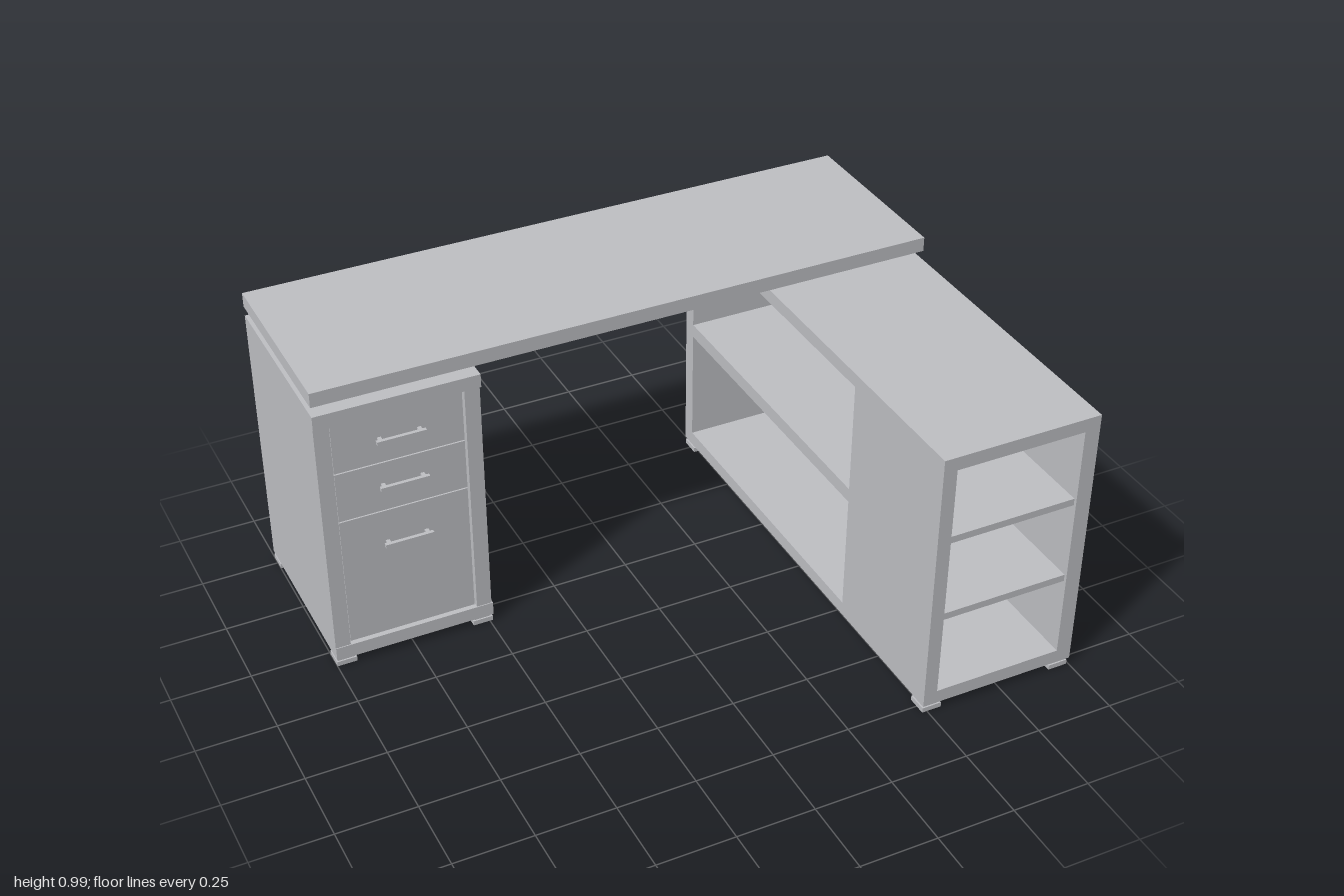
import * as THREE from 'three';

const grey = new THREE.MeshStandardMaterial({ color: 0xbfc0c4 });
grey.name = 'painted grey';

// Box given by its limits on each axis
function slab(parent, name, [x0, x1], [y0, y1], [z0, z1]) {
  const mesh = new THREE.Mesh(new THREE.BoxGeometry(x1 - x0, y1 - y0, z1 - z0), grey);
  mesh.position.set((x0 + x1) / 2, (y0 + y1) / 2, (z0 + z1) / 2);
  mesh.name = name;
  parent.add(mesh);
  return mesh;
}

function group(parent, name) {
  const g = new THREE.Group();
  g.name = name;
  parent.add(g);
  return g;
}

// Square foot: hollow pad below a slightly narrower neck
function foot(parent, x, z) {
  const g = group(parent, 'foot');
  const r = 0.032, h = 0.02;
  const square = (Type, s) => new Type([[-s, -s], [s, -s], [s, s], [-s, s]].map(p => new THREE.Vector2(...p)));
  const shape = square(THREE.Shape, r);
  shape.holes.push(square(THREE.Path, h));
  const geo = new THREE.ExtrudeGeometry(shape, { depth: 0.016, bevelEnabled: false });
  geo.rotateX(-Math.PI / 2);
  const pad = new THREE.Mesh(geo, grey);
  pad.name = 'footPad';
  pad.position.set(x, 0, z);
  g.add(pad);
  slab(g, 'footNeck', [x - 0.027, x + 0.027], [0.01, 0.025], [z - 0.027, z + 0.027]);
}

const Y_BASE = [0.025, 0.07], Y_BODY = [0.07, 0.868], Y_CAP = [0.868, 0.912];

export function createModel() {
  const desk = new THREE.Group();
  desk.name = 'cornerDesk';

  // Raised desk top on two spacers
  slab(desk, 'deskTop', [-1, 1], [0.943, 0.99], [-0.785, -0.178]);
  slab(desk, 'drawerSpacer', [-0.95, -0.54], [0.912, 0.943], [-0.725, -0.235]);
  slab(desk, 'shelfSpacer', [0.53, 0.945], [0.912, 0.943], [-0.725, -0.235]);

  // Drawer pedestal
  const drawers = group(desk, 'drawerPedestal');
  const zd = [-0.785, -0.175];
  slab(drawers, 'pedestalCap', [-1, -0.488], Y_CAP, zd);
  slab(drawers, 'pedestalBase', [-1, -0.488], Y_BASE, zd);
  slab(drawers, 'outerSide', [-1, -0.952], Y_BODY, [-0.785, -0.178]);
  slab(drawers, 'innerSide', [-0.54, -0.492], Y_BODY, [-0.785, -0.178]);
  slab(drawers, 'pedestalBack', [-0.952, -0.54], Y_BODY, [-0.765, -0.745]);
  slab(drawers, 'drawerBacking', [-0.952, -0.54], Y_BODY, [-0.225, -0.205]);

  // Drawer fronts, each with a bar handle
  const fronts = [[0.074, 0.517, 0.407], [0.521, 0.688, 0.613], [0.692, 0.866, 0.776]];
  for (const [y0, y1, yh] of fronts) {
    slab(drawers, 'drawerFront', [-0.948, -0.544], [y0, y1], [-0.205, -0.188]);
    slab(drawers, 'handleBar', [-0.82, -0.667], [yh - 0.006, yh + 0.006], [-0.172, -0.16]);
    for (const x of [-0.805, -0.682])
      slab(drawers, 'handlePost', [x - 0.006, x + 0.006], [yh - 0.004, yh + 0.004], [-0.188, -0.172]);
  }

  // Long shelf unit
  const unit = group(desk, 'shelfUnit');
  const xu = [0.484, 1];
  slab(unit, 'unitCap', xu, Y_CAP, [-0.785, 0.785]);
  slab(unit, 'unitBase', xu, Y_BASE, [-0.785, 0.785]);
  slab(unit, 'endPanel', xu, Y_BODY, [-0.785, -0.735]);
  slab(unit, 'sideShelf', xu, [0.457, 0.503], [-0.735, 0.3]);

  // Front bookcase at the end of the shelf unit
  slab(unit, 'bookcaseInnerSide', [0.484, 0.528], Y_BODY, [0.3, 0.785]);
  slab(unit, 'bookcaseOuterSide', [0.95, 1], Y_BODY, [0.3, 0.785]);
  slab(unit, 'bookcaseBack', [0.528, 0.95], Y_BODY, [0.302, 0.322]);
  for (const y of [0.33, 0.607])
    slab(unit, 'bookcaseShelf', [0.528, 0.95], [y, y + 0.023], [0.322, 0.775]);

  // Feet under the corners of both cabinets
  for (const x of [-0.968, -0.522]) for (const z of [-0.75, -0.21]) foot(drawers, x, z);
  for (const x of [0.516, 0.962]) for (const z of [-0.75, 0.75]) foot(unit, x, z);

  return desk;
}
